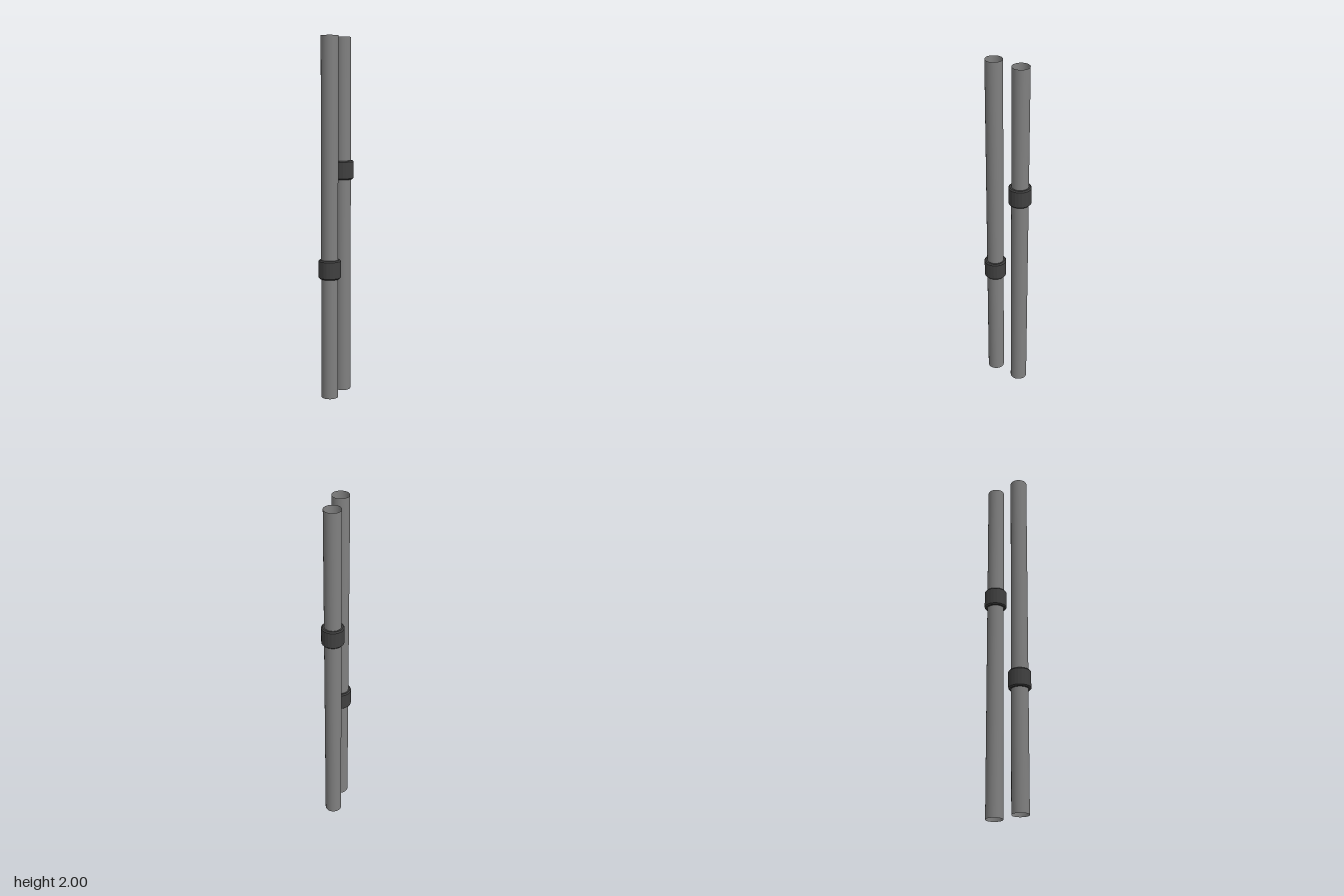
import * as THREE from 'three';

const SIDES = 20;
const TUBE_R = 0.047;

export function createModel() {
  const steel = new THREE.MeshStandardMaterial({ color: 0x808080, side: THREE.DoubleSide });
  const rubber = new THREE.MeshStandardMaterial({ color: 0x404040, flatShading: true });
  steel.name = 'steel grey';
  rubber.name = 'dark rubber';

  // Open thin-walled tube, standing on the ground
  const tubeGeo = new THREE.CylinderGeometry(TUBE_R, TUBE_R, 2, 32, 1, true);
  tubeGeo.translate(0, 1, 0);

  // Chamfered collar profile, closed against the tube wall
  const collarGeo = new THREE.LatheGeometry([
    [TUBE_R, -0.053], [0.056, -0.053], [0.0625, -0.046],
    [0.0625, 0.046], [0.056, 0.053], [TUBE_R, 0.053],
  ].map(([r, y]) => new THREE.Vector2(r, y)), SIDES, Math.PI / SIDES);

  const model = new THREE.Group();
  model.name = 'pairOfSticks';

  // Two sticks, one behind the other, with collars at mirrored heights
  for (const [name, z, collarY] of [['front', 0.084, 0.733], ['back', -0.084, 1.27]]) {
    const stick = new THREE.Group();
    stick.name = name + 'Stick';
    stick.position.z = z;

    const tube = new THREE.Mesh(tubeGeo, steel);
    tube.name = name + 'Tube';

    const collar = new THREE.Mesh(collarGeo, rubber);
    collar.name = name + 'Collar';
    collar.position.y = collarY;

    stick.add(tube, collar);
    model.add(stick);
  }
  return model;
}
